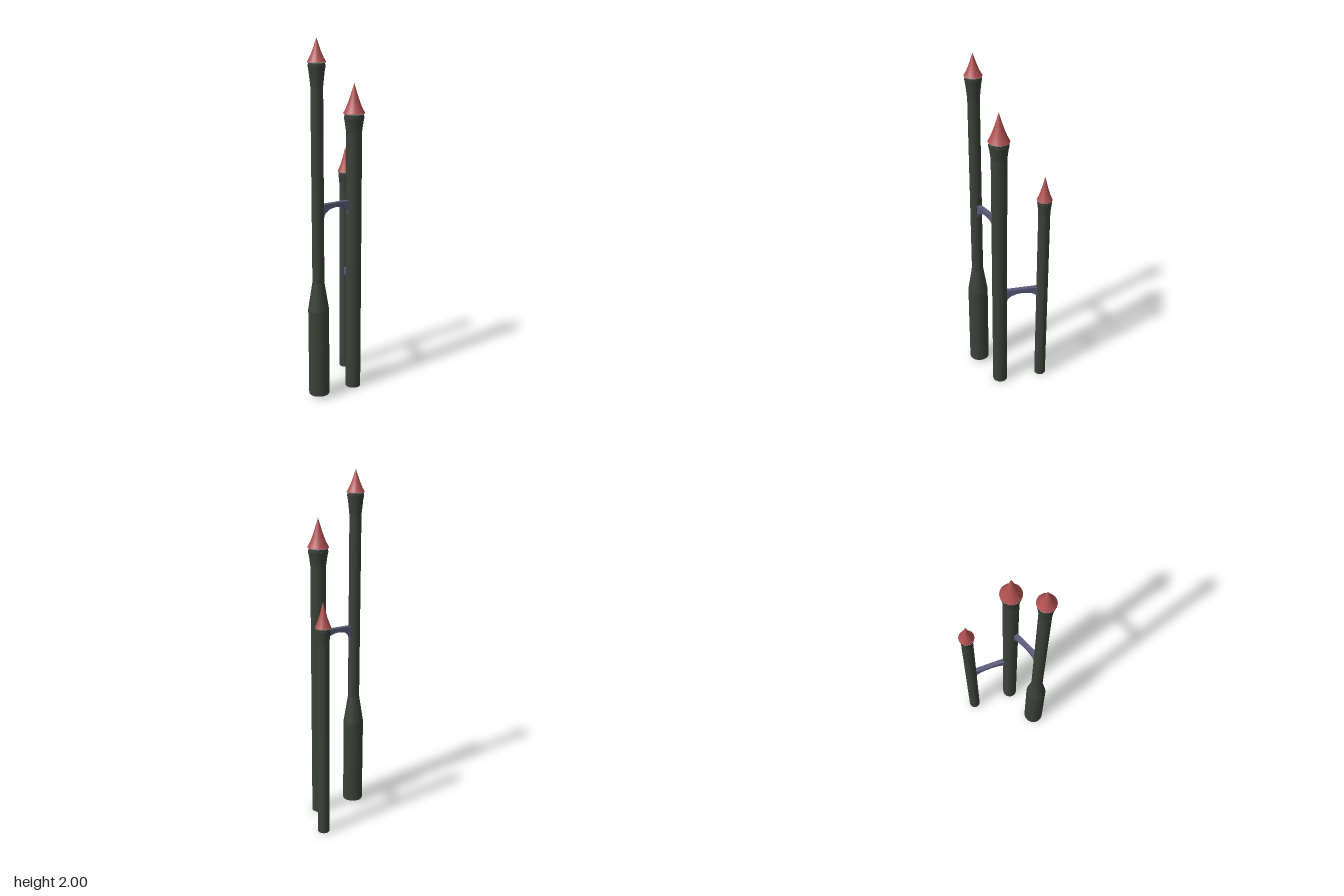
import * as THREE from 'three';

const stone = new THREE.MeshStandardMaterial({ color: 0x3a4238 });
const tile = new THREE.MeshStandardMaterial({ color: 0xb05050 });
const trim = new THREE.MeshStandardMaterial({ color: 0xcccccc });
const bridgeStone = new THREE.MeshStandardMaterial({ color: 0x5a5878 });
const SIDES = 32;

function add(parent, name, geometry, material) {
  const mesh = new THREE.Mesh(geometry, material);
  mesh.name = name;
  parent.add(mesh);
  return mesh;
}

// Each run of [radius, height] points is smooth; separate runs meet at sharp edges
function lathe(parent, name, material, runs) {
  for (const run of runs) {
    const points = run.map(([r, y]) => new THREE.Vector2(r, y));
    add(parent, name, new THREE.LatheGeometry(points, SIDES), material);
  }
}

function makeTower(t) {
  const tower = new THREE.Group();
  tower.name = t.name;
  tower.position.set(t.x, 0, t.z);
  const h = t.top - t.flare;

  // Shaft, with an optional broad foot tapering into it
  const shaft = t.foot
    ? [
        [[0, t.base], [t.foot, t.base]],
        [[t.foot, t.base], [t.foot, 0.53]],
        [[t.foot, 0.53], [t.r, 0.69]],
        [[t.r, 0.69], [t.r, t.flare]],
      ]
    : [
        [[0, t.base], [t.r, t.base]],
        [[t.r, t.base], [t.r, t.flare]],
      ];
  lathe(tower, 'shaft', stone, shaft);

  // Flared head with a small lip
  const w = t.headR - t.r;
  lathe(tower, 'flaredHead', stone, [
    [[t.r, t.flare], [t.r + w * 0.25, t.flare + h * 0.3], [t.r + w * 0.65, t.flare + h * 0.75], [t.headR, t.top]],
    [[t.headR, t.top], [t.headR, t.top + 0.006]],
    [[t.headR, t.top + 0.006], [0, t.top + 0.006]],
  ]);

  // Recessed neck and thin pale eave under the roof
  const neck = add(tower, 'neck', new THREE.CylinderGeometry(t.headR * 0.95, t.headR * 0.95, t.eave - t.top, SIDES), stone);
  neck.position.y = (t.eave + t.top) / 2;
  const eave = add(tower, 'eave', new THREE.CylinderGeometry(t.roofR + 0.0005, t.headR, 0.005, SIDES), trim);
  eave.position.y = t.eave - 0.0025;

  // Concave pointed roof
  const k = t.tip - t.eave;
  const profile = [[1, 0], [0.76, 0.17], [0.54, 0.37], [0.35, 0.57], [0.17, 0.79], [0, 1]];
  lathe(tower, 'roof', tile, [profile.map(([r, y]) => [r * t.roofR, t.eave + y * k])]);
  return tower;
}

// Arched bridge between two tower walls
function makeBridge(name, a, b, top, crown, foot, width) {
  const dx = b.x - a.x, dz = b.z - a.z;
  const length = Math.hypot(dx, dz);
  const s = a.r - 0.006, e = length - b.r + 0.006;
  const wallA = a.r, wallB = length - b.r;
  const shape = new THREE.Shape();
  shape.moveTo(s, top);
  shape.lineTo(s, foot);
  shape.lineTo(wallA, foot);
  shape.absellipse((wallA + wallB) / 2, foot, (wallB - wallA) / 2, crown - foot, Math.PI, 0, true);
  shape.lineTo(e, foot);
  shape.lineTo(e, top);
  shape.closePath();
  const geometry = new THREE.ExtrudeGeometry(shape, { depth: width, bevelEnabled: false, curveSegments: 20 });
  geometry.translate(0, 0, -width / 2);
  const group = new THREE.Group();
  group.name = name;
  add(group, 'archedSpan', geometry, bridgeStone);
  group.position.set(a.x, 0, a.z);
  group.rotation.y = Math.atan2(-dz, dx);
  return group;
}

export function createModel() {
  const model = new THREE.Group();
  model.name = 'bridgedTowers';
  const tall = { name: 'tallTower', x: -0.08, z: 0.19, r: 0.033, foot: 0.058, base: 0.02, flare: 1.755, top: 1.86, headR: 0.046, eave: 1.88, roofR: 0.049, tip: 2 };
  const middle = { name: 'middleTower', x: 0.077, z: 0.02, r: 0.043, base: 0, flare: 1.5, top: 1.575, headR: 0.055, eave: 1.6, roofR: 0.0585, tip: 1.76 };
  const short = { name: 'shortTower', x: -0.027, z: -0.208, r: 0.033, base: 0.004, flare: 1.145, top: 1.205, headR: 0.04, eave: 1.228, roofR: 0.043, tip: 1.368 };
  for (const t of [tall, middle, short]) model.add(makeTower(t));
  model.add(makeBridge('upperBridge', tall, middle, 1.127, 1.103, 1.055, 0.026));
  model.add(makeBridge('lowerBridge', middle, short, 0.655, 0.63, 0.588, 0.026));
  return model;
}
